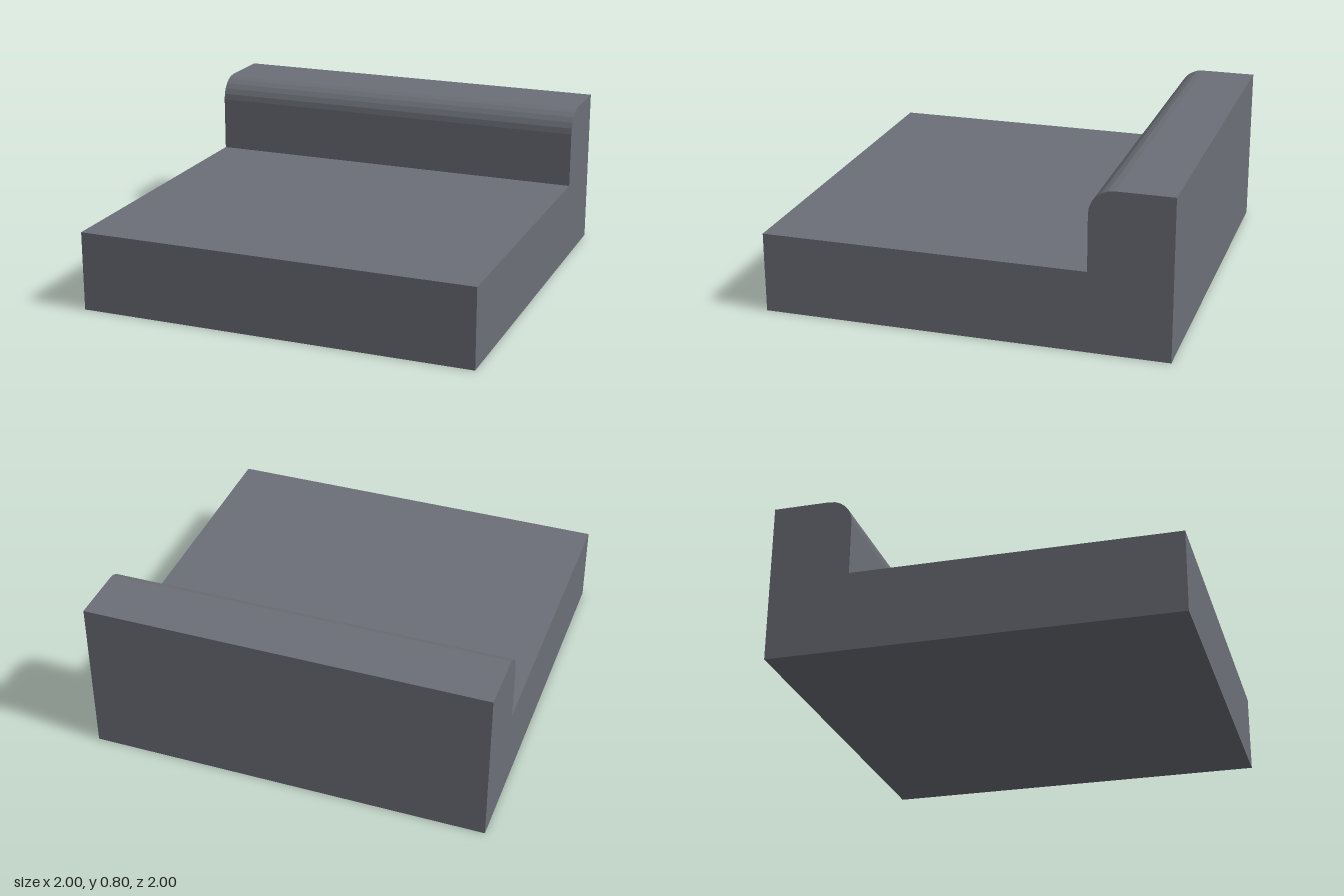
import * as THREE from 'three';

const WIDTH = 2;

export function createModel() {
  const group = new THREE.Group();
  group.name = 'lowSeat';

  const greyFabric = new THREE.MeshStandardMaterial({ color: 0x6c6f77 });
  greyFabric.name = 'greyFabric';

  // Flat seat block in front of the backrest
  const seat = new THREE.Mesh(new THREE.BoxGeometry(WIDTH, 0.4, 1.6), greyFabric);
  seat.name = 'seat';
  seat.position.set(0, 0.2, 0.2);
  group.add(seat);

  // Backrest side profile (z, y) with a faceted rounded upper front edge
  const radius = 0.12;
  const profile = new THREE.Shape();
  profile.moveTo(-1, 0);
  profile.lineTo(-0.6, 0);
  profile.lineTo(-0.6, 0.8 - radius);
  profile.absarc(-0.6 - radius, 0.8 - radius, radius, 0, Math.PI / 2, false);
  profile.lineTo(-1, 0.8);
  profile.closePath();

  const backGeometry = new THREE.ExtrudeGeometry(profile, {
    depth: WIDTH,
    bevelEnabled: false,
    curveSegments: 3,
  });
  // Turn the profile to face sideways and centre it across the width
  backGeometry.rotateY(-Math.PI / 2);
  backGeometry.translate(WIDTH / 2, 0, 0);

  const backrest = new THREE.Mesh(backGeometry, greyFabric);
  backrest.name = 'backrest';
  group.add(backrest);

  return group;
}
